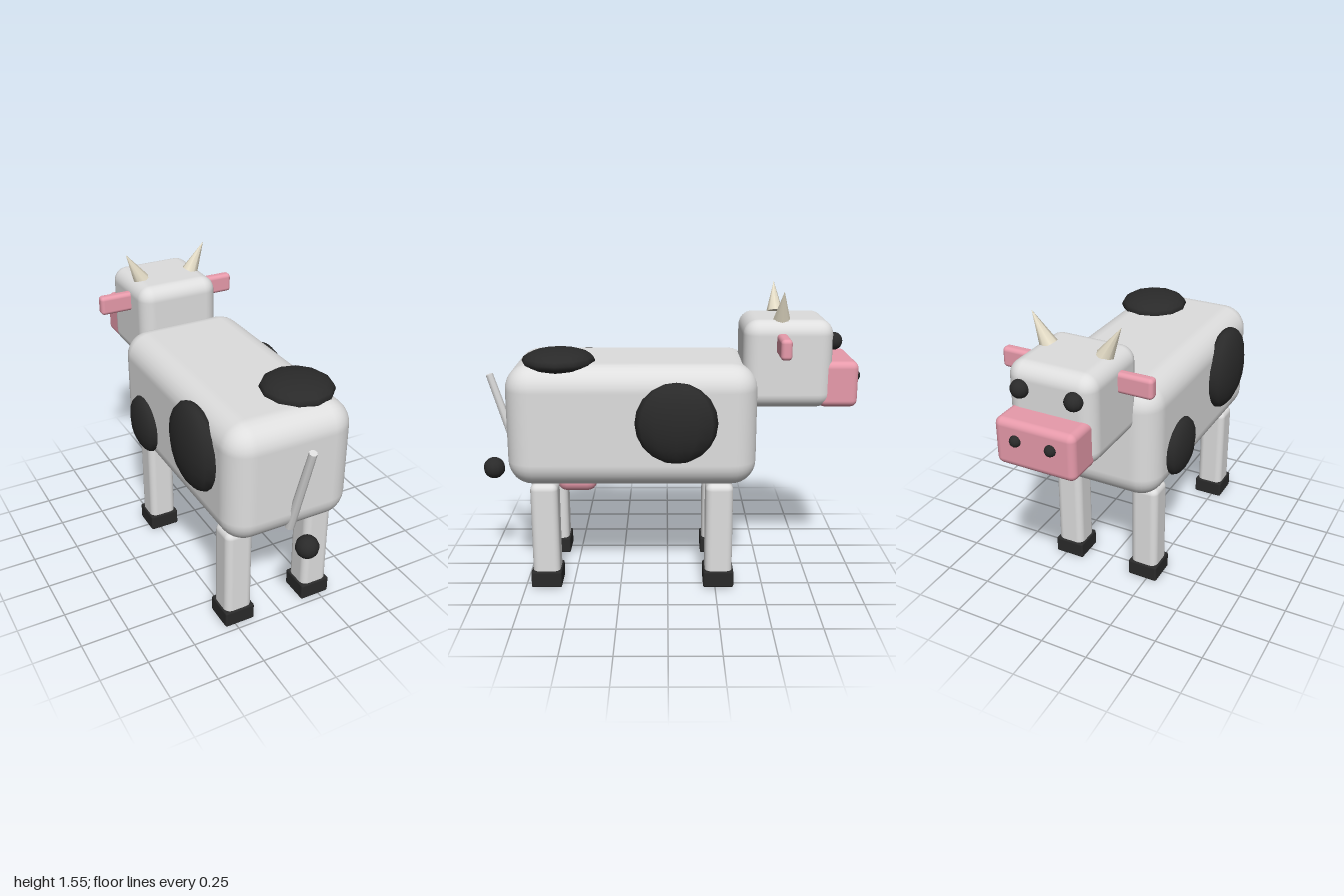
import * as THREE from 'three';
import { RoundedBoxGeometry } from 'three/addons/geometries/RoundedBoxGeometry.js';

const material = (name, color) => {
  const m = new THREE.MeshStandardMaterial({ color });
  m.name = name;
  return m;
};

export function createModel() {
  const cow = new THREE.Group();
  cow.name = 'cow';
  const white = material('hide white', 0xdedede);
  const black = material('black', 0x2a2a2a);
  const pink = material('pink', 0xf2a2b3);
  const ivory = material('horn ivory', 0xe6dec8);

  const add = (name, geometry, mat, x, y, z) => {
    const mesh = new THREE.Mesh(geometry, mat);
    mesh.name = name;
    mesh.position.set(x, y, z);
    cow.add(mesh);
    return mesh;
  };
  const box = (name, mat, [w, h, d], radius, [x, y, z], segments = 4) =>
    add(name, new RoundedBoxGeometry(w, h, d, segments, radius), mat, x, y, z);
  const ball = (name, radius, x, y, z) =>
    add(name, new THREE.SphereGeometry(radius, 12, 10), black, x, y, z);

  // Body, head and snout; the animal looks toward -z
  box('body', white, [0.676, 0.632, 1.278], 0.13, [0, 0.872, 0.184]);
  box('head', white, [0.45, 0.45, 0.454], 0.075, [0, 1.176, -0.607]);
  box('snout', pink, [0.41, 0.235, 0.2], 0.035, [0, 1.073, -0.868]);
  box('udder', pink, [0.224, 0.115, 0.21], 0.05, [0, 0.52, 0.485], 2);

  for (const [side, s] of [['left', 1], ['right', -1]]) {
    // Face
    ball(side + 'Eye', 0.045, s * 0.138, 1.289, -0.84);
    ball(side + 'Nostril', 0.028, s * 0.09, 1.1, -0.969);
    box(side + 'Ear', pink, [0.2, 0.103, 0.056], 0.02, [s * 0.295, 1.287, -0.572]);

    // Horn leaning outward from the crown
    const horn = new THREE.ConeGeometry(0.045, 0.176, 8);
    horn.translate(0, 0.088, 0);
    add(side + 'Horn', horn, ivory, s * 0.147, 1.394, -0.572).rotation.z = -s * 0.5;

    // Legs and hooves
    for (const [end, z] of [['Rear', 0.639], ['Front', -0.267]]) {
      box(side + end + 'Leg', white, [0.147, 0.52, 0.143], 0.035, [s * 0.225, 0.309, z]);
      box(side + end + 'Hoof', black, [0.164, 0.09, 0.16], 0.01, [s * 0.225, 0.045, z], 2);
    }
  }

  // Tail with a round tuft
  add('tail', new THREE.CylinderGeometry(0.02, 0.025, 0.53, 8), white, 0, 0.833, 0.863).rotation.x = 0.3;
  ball('tailTuft', 0.058, 0, 0.567, 0.942);

  // Hide spots: flattened balls [name, position, half sizes]
  const spots = [
    ['leftSpot', [0.338, 0.909, -0.043], [0.08, 0.209, 0.209]],
    ['rightRearSpot', [-0.338, 0.944, 0.442], [0.082, 0.225, 0.225]],
    ['rightFrontSpot', [-0.338, 0.757, -0.148], [0.058, 0.153, 0.16]],
    ['backSpot', [0.153, 1.193, 0.555], [0.182, 0.065, 0.187]],
  ];
  for (const [name, position, size] of spots) ball(name, 1, ...position).scale.set(...size);

  return cow;
}
